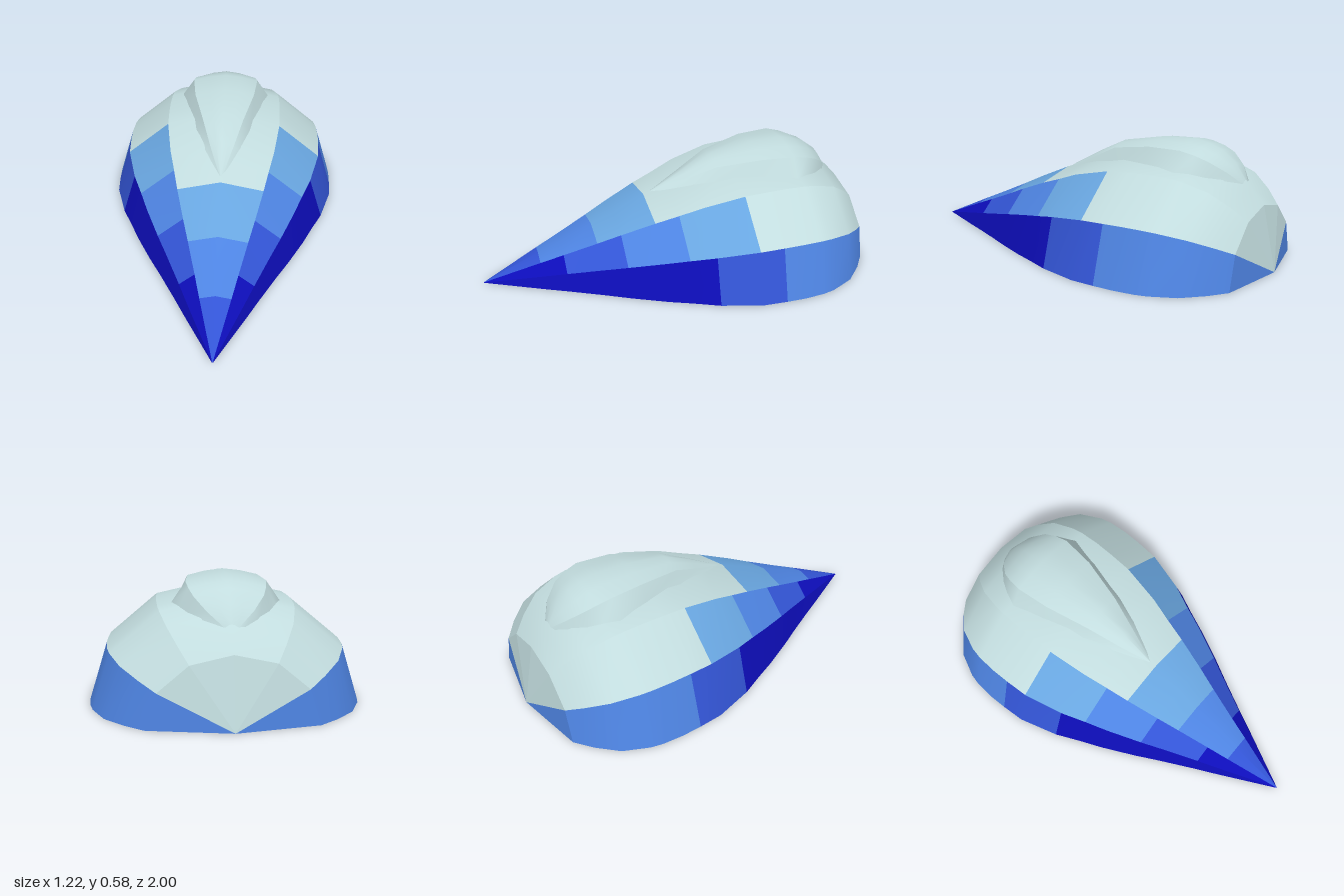
import * as THREE from 'three';

const mat = (name, color) => {
  const m = new THREE.MeshStandardMaterial({ color });
  m.name = name;
  return m;
};

// Stations along the body: [z, half width], from pointed front to blunt back
const stations = [
  [1, 0.002], [0.715, 0.148], [0.6, 0.205], [0.435, 0.29], [0.32, 0.352], [0.155, 0.434],
  [0.04, 0.484], [-0.08, 0.54], [-0.28, 0.6], [-0.4, 0.609], [-0.5, 0.612], [-0.6, 0.605],
  [-0.66, 0.592], [-0.78, 0.538], [-0.87, 0.45], [-0.935, 0.365],
];

// One cross-section, scaled by the half width at each station
const section = [[1, 0], [0.868, 0.43], [0.5, 0.74], [0, 0.85], [-0.5, 0.74], [-0.868, 0.43], [-1, 0]];

function halfWidth(z) {
  for (let i = 1; i < stations.length; i++) {
    const [z0, w0] = stations[i - 1], [z1, w1] = stations[i];
    if (z >= z1) return w0 + (w1 - w0) * (z - z0) / (z1 - z0);
  }
  return 0;
}

// Smooth strip through rows of points; pick(z) gives the material index of a row
function strip(rows, pick) {
  const n = rows[0].length, index = [];
  const g = new THREE.BufferGeometry();
  g.setAttribute('position', new THREE.Float32BufferAttribute(rows.flat(2), 3));
  for (let i = 0; i < rows.length - 1; i++) {
    const start = index.length;
    for (let j = 0; j < n - 1; j++) {
      const a = i * n + j, d = a + n;
      index.push(a, d, d + 1, a, d + 1, a + 1);
    }
    if (pick) g.addGroup(start, index.length - start, pick((rows[i][0][2] + rows[i + 1][0][2]) / 2));
  }
  g.setIndex(index);
  g.computeVertexNormals();
  return g;
}

export function createModel() {
  const group = new THREE.Group();
  const palette = [
    mat('deepBlue', 0x0d0dba), mat('royalBlue', 0x3355d6), mat('midBlue', 0x4e84e2),
    mat('skyBlue', 0x69a6e0), mat('paleGrey', 0xc2dcde),
  ];
  const add = (name, geometry, material) => {
    const m = new THREE.Mesh(geometry, material);
    m.name = name;
    group.add(m);
  };

  // Colour steps: z where each band moves on to the next colour
  const steps = {
    lower: [-0.08, -0.4],
    middle: [0.6, 0.32, 0.04, -0.28],
    top: [1, 0.715, 0.435, 0.155],
  };
  const bands = [
    ['leftLowerBand', 'lower', 0, 1], ['leftMiddleBand', 'middle', 1, 2], ['topBand', 'top', 2, 4],
    ['rightMiddleBand', 'middle', 4, 5], ['rightLowerBand', 'lower', 5, 6],
  ];
  for (const [name, kind, from, to] of bands) {
    const rows = stations.map(([z, w]) =>
      section.slice(from, to + 1).map(([x, y]) => [x * w, y * w, z]));
    add(name, strip(rows, (z) => steps[kind].filter((s) => z < s).length), palette);
  }

  // Faceted back, fanning down to a point on the ground
  const [zBack, wBack] = stations[stations.length - 1];
  const fan = [];
  for (let j = 0; j < 6; j++) {
    const [p, q] = [section[j], section[j + 1]].map(([x, y]) => [x * wBack, y * wBack, zBack]);
    fan.push(...p, 0, 0, -1, ...q);
  }
  const back = new THREE.BufferGeometry();
  back.setAttribute('position', new THREE.Float32BufferAttribute(fan, 3));
  back.computeVertexNormals();
  back.addGroup(0, 3, 2);
  back.addGroup(3, 12, 4);
  back.addGroup(15, 3, 2);
  add('backCap', back, palette);

  // Flat underside
  const outline = [...stations, [-1, 0.002]];
  add('underside', strip(outline.map(([z, w]) => [[-w, 0, z], [w, 0, z]])), palette[0]);

  // Raised teardrop: [z, foot half width, crest half width, crest height, centre height]
  const ridge = [
    [0.12, 0.015, 0.006, 0.378, 0.384], [-0.05, 0.095, 0.06, 0.452, 0.475],
    [-0.2, 0.145, 0.105, 0.52, 0.545], [-0.42, 0.2, 0.16, 0.553, 0.582],
    [-0.59, 0.245, 0.178, 0.553, 0.585], [-0.66, 0.213, 0.168, 0.535, 0.567],
    [-0.72, 0.178, 0.15, 0.51, 0.545], [-0.79, 0.12, 0.1, 0.46, 0.49],
    [-0.84, 0.05, 0.03, 0.4, 0.415],
  ];
  const foot = (z, x) => 0.85 * halfWidth(z) - 0.22 * x - 0.006;
  add('teardropTop', strip(ridge.map(([z, , c, y, t]) =>
    [[c, y, z], [c / 2, (y + 2 * t) / 3, z], [0, t, z], [-c / 2, (y + 2 * t) / 3, z], [-c, y, z]])), palette[4]);
  add('teardropLeftWall', strip(ridge.map(([z, f, c, y]) => [[f, foot(z, f), z], [c, y, z]])), palette[4]);
  add('teardropRightWall', strip(ridge.map(([z, f, c, y]) => [[-c, y, z], [-f, foot(z, f), z]])), palette[4]);

  return group;
}
